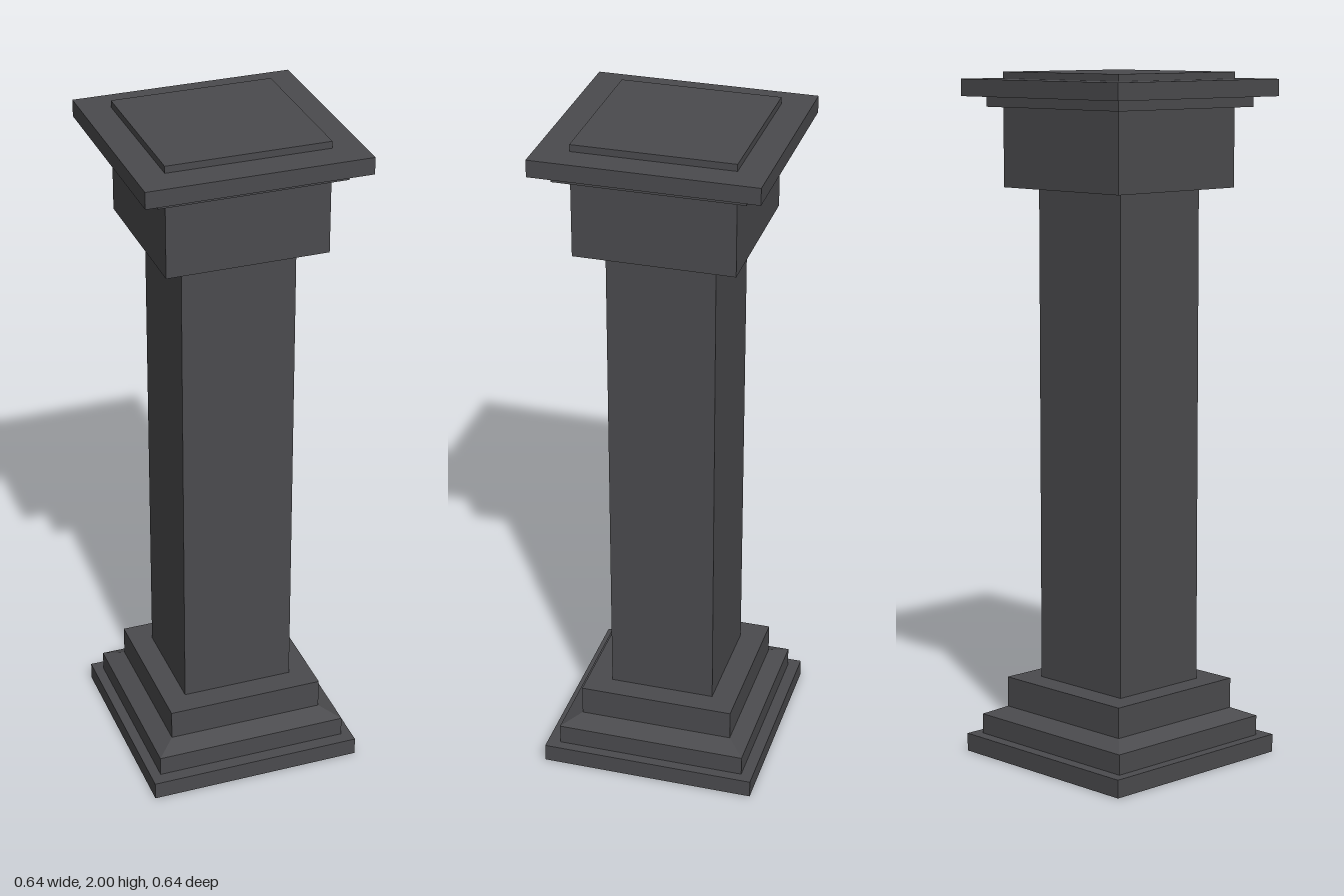
import * as THREE from 'three';

export function createModel() {
  const column = new THREE.Group();
  column.name = 'squareColumn';
  const stone = new THREE.MeshStandardMaterial({ color: 0x4b4b4e, flatShading: true });
  stone.name = 'dark grey stone';

  // Square tier from y0 to y1; an optional top size makes the sides slope
  function tier(name, y0, y1, w, d, z = 0, topW = w, topD = d, topZ = z) {
    const geo = new THREE.BoxGeometry(1, y1 - y0, 1);
    const p = geo.attributes.position;
    for (let i = 0; i < p.count; i++) {
      const top = p.getY(i) > 0;
      p.setX(i, p.getX(i) * (top ? topW : w));
      p.setZ(i, p.getZ(i) * (top ? topD : d) + (top ? topZ : z));
    }
    geo.computeVertexNormals();
    const mesh = new THREE.Mesh(geo, stone);
    mesh.name = name;
    mesh.position.y = (y0 + y1) / 2;
    column.add(mesh);
  }

  // Base
  tier('plinth', 0, 0.053, 0.64, 0.64);
  tier('baseStep', 0.053, 0.112, 0.58, 0.567, -0.002);
  tier('baseSlope', 0.112, 0.137, 0.58, 0.567, -0.002, 0.47, 0.461, -0.004);
  tier('baseBlock', 0.137, 0.226, 0.47, 0.461, -0.004);

  // Shaft
  tier('shaft', 0.226, 1.672, 0.334, 0.313, -0.004);

  // Capital
  tier('capitalBlock', 1.672, 1.901, 0.47, 0.461, -0.004);
  tier('capitalLedge', 1.901, 1.931, 0.538, 0.538);
  tier('capitalSlab', 1.931, 1.98, 0.64, 0.64);
  tier('topPanel', 1.98, 2, 0.47, 0.461, -0.004);

  // The column stands very slightly turned
  column.rotation.y = 0.005;
  return column;
}
